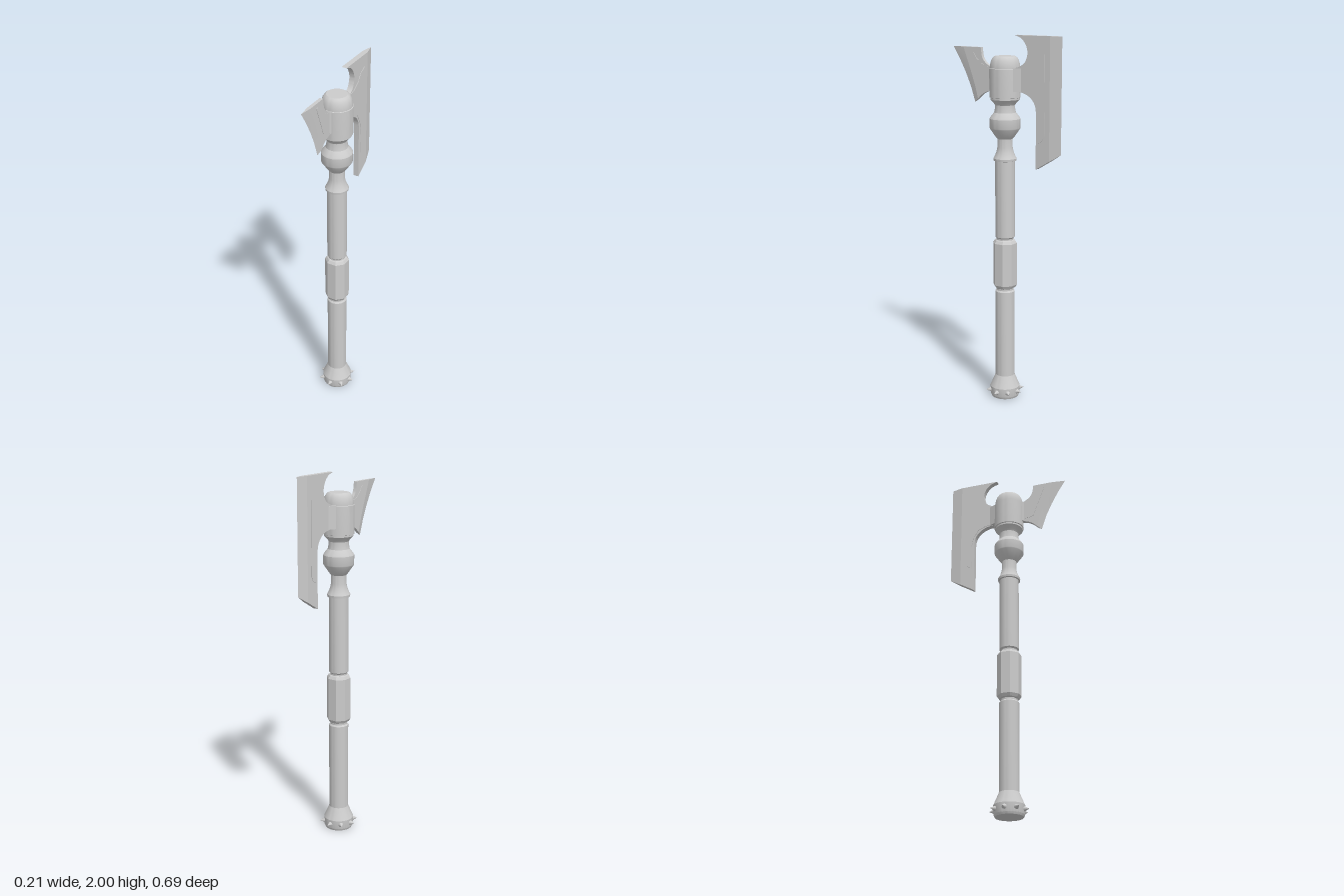
import * as THREE from 'three';
import { toCreasedNormals } from 'three/addons/utils/BufferGeometryUtils.js';

const AXIS_Z = 0.006; // the shaft sits slightly forward of the blades' midpoint
const material = new THREE.MeshStandardMaterial({ color: 0xcccccc });
const bladeMaterial = new THREE.MeshStandardMaterial({ color: 0xcccccc, side: THREE.DoubleSide });
const vectors = (pts) => pts.map(([a, b]) => new THREE.Vector2(a, b));

function add(parent, name, geometry, mat = material) {
  const mesh = new THREE.Mesh(geometry, mat);
  mesh.name = name;
  parent.add(mesh);
  return mesh;
}

// Turned part from [radius, height] pairs, bottom to top
function turned(parent, name, profile, sides = 32, crease = 0.45) {
  const geo = new THREE.LatheGeometry(vectors(profile), sides, Math.PI / sides);
  const mesh = add(parent, name, toCreasedNormals(geo, crease));
  mesh.position.z = AXIS_Z;
  return mesh;
}

// Plate drawn in (z, y), with thickness centred on x = 0
function plate(parent, name, shape, half) {
  const geo = new THREE.ExtrudeGeometry(shape, { depth: half * 2, bevelEnabled: false, curveSegments: 6 });
  geo.translate(0, 0, -half).rotateY(-Math.PI / 2);
  return add(parent, name, toCreasedNormals(geo, 0.5), bladeMaterial);
}

// Cutting bevel: triangular cross-sections swept from the body line to the sharp line
function cuttingEdge(parent, name, inner, outer, half) {
  const positions = [], index = [];
  inner.forEach(([z, y], i) => positions.push(half, y, z, 0, outer[i][1], outer[i][0], -half, y, z));
  for (let i = 0; i < inner.length - 1; i++) {
    const a = i * 3, b = a + 3;
    for (const k of [0, 1]) index.push(a + k, b + k, a + k + 1, b + k, b + k + 1, a + k + 1);
  }
  const last = (inner.length - 1) * 3;
  index.push(0, 1, 2, last, last + 2, last + 1);
  const geo = new THREE.BufferGeometry();
  geo.setAttribute('position', new THREE.Float32BufferAttribute(positions, 3));
  geo.setIndex(index);
  return add(parent, name, toCreasedNormals(geo, 0.4), bladeMaterial);
}

// Flared block joining a blade to the head
function root(parent, name, near, far, wide, narrow) {
  const shape = new THREE.Shape(vectors([[-wide, -near], [wide, -near], [narrow, -far], [-narrow, -far]]));
  const geo = new THREE.ExtrudeGeometry(shape, { depth: 0.12, bevelEnabled: false });
  geo.rotateX(-Math.PI / 2).translate(0, 1.71, 0);
  return add(parent, name, geo, bladeMaterial);
}

export function createModel() {
  const axe = new THREE.Group();
  axe.name = 'battleAxe';

  // Pommel with a ring of spikes
  turned(axe, 'pommel', [[0, 0], [0.074, 0], [0.08, 0.012], [0.082, 0.06], [0.075, 0.075],
    [0.062, 0.105], [0.053, 0.127]]);
  const spikes = new THREE.Group();
  spikes.name = 'pommelSpikes';
  spikes.position.set(0, 0.037, AXIS_Z);
  axe.add(spikes);
  for (let i = 0; i < 8; i++) {
    const geo = new THREE.ConeGeometry(0.016, 0.032, 12);
    geo.rotateX(Math.PI / 2).translate(0, 0, 0.091).rotateY(i * Math.PI / 4);
    add(spikes, 'spike', geo);
  }

  // Shaft halves and the faceted grip between them
  turned(axe, 'lowerShaft', [[0.053, 0.127], [0.053, 0.612], [0.046, 0.62], [0.046, 0.64]]);
  turned(axe, 'grip', [[0.045, 0.628], [0.056, 0.634], [0.066, 0.65], [0.066, 0.885],
    [0.056, 0.9], [0.045, 0.906]], 8, 0.2);
  turned(axe, 'upperShaft', [[0.046, 0.89], [0.046, 0.912], [0.053, 0.92], [0.053, 1.338]]);

  // Neck, collar and head
  turned(axe, 'shaftCollar', [[0.053, 1.336], [0.061, 1.338], [0.062, 1.35], [0.055, 1.362],
    [0.046, 1.385], [0.041, 1.41], [0.041, 1.46]]);
  turned(axe, 'neckCollar', [[0.041, 1.455], [0.05, 1.465], [0.08, 1.508], [0.082, 1.513], [0.082, 1.562],
    [0.078, 1.57], [0.058, 1.595], [0.054, 1.615], [0.054, 1.64]]);
  turned(axe, 'head', [[0.054, 1.635], [0.06, 1.645], [0.078, 1.664], [0.078, 1.673], [0.083, 1.675],
    [0.083, 1.826], [0.08, 1.828], [0.079, 1.845], [0.073, 1.868], [0.064, 1.883], [0.054, 1.89], [0, 1.89]]);

  // Large rear blade
  const rear = new THREE.Group();
  rear.name = 'rearBlade';
  axe.add(rear);
  const body = new THREE.Shape();
  body.moveTo(-0.28, 2);
  body.lineTo(-0.063, 2);
  body.splineThru(vectors([[-0.105, 1.984], [-0.134, 1.95], [-0.143, 1.905], [-0.122, 1.857], [-0.07, 1.83]]));
  body.lineTo(-0.04, 1.83);
  body.lineTo(-0.04, 1.71);
  body.lineTo(-0.08, 1.71);
  body.splineThru(vectors([[-0.13, 1.7], [-0.17, 1.675], [-0.192, 1.64], [-0.198, 1.6]]));
  body.lineTo(-0.198, 1.31);
  body.lineTo(-0.28, 1.359);
  plate(rear, 'rearBladeBody', body, 0.0145);
  cuttingEdge(rear, 'rearCuttingEdge', [[-0.28, 2], [-0.28, 1.359]], [[-0.343, 2], [-0.343, 1.397]], 0.0145);
  plate(rear, 'rearRaisedPanel', new THREE.Shape(vectors([[-0.06, 1.83], [-0.14, 1.848], [-0.18, 1.875],
    [-0.21, 1.915], [-0.25, 1.935], [-0.25, 1.49], [-0.238, 1.465], [-0.215, 1.45], [-0.215, 1.59],
    [-0.205, 1.64], [-0.175, 1.69], [-0.13, 1.71], [-0.06, 1.715]])), 0.0168);
  root(rear, 'rearBladeRoot', -0.06, -0.105, 0.04, 0.0168);

  // Small front blade with a concave edge
  const front = new THREE.Group();
  front.name = 'frontBlade';
  axe.add(front);
  const sharp = [[0.343, 1.93], [0.298, 1.86], [0.26, 1.79], [0.228, 1.72], [0.2, 1.637]];
  const inner = [[0.27, 1.93], [0.243, 1.86], [0.216, 1.79], [0.192, 1.72], [0.175, 1.657]];
  const blade = new THREE.Shape(vectors(inner));
  blade.splineThru(vectors([[0.15, 1.68], [0.12, 1.697], [0.08, 1.707]]));
  blade.lineTo(0.04, 1.707);
  blade.lineTo(0.04, 1.828);
  blade.lineTo(0.08, 1.828);
  blade.splineThru(vectors([[0.115, 1.843], [0.145, 1.875], [0.156, 1.93]]));
  plate(front, 'frontBladeBody', blade, 0.0095);
  cuttingEdge(front, 'frontCuttingEdge', inner, sharp, 0.0095);
  plate(front, 'frontRaisedPanel', new THREE.Shape(vectors([[0.22, 1.905], [0.203, 1.905], [0.18, 1.87],
    [0.15, 1.845], [0.11, 1.832], [0.06, 1.828], [0.06, 1.715], [0.13, 1.722], [0.155, 1.732]])), 0.0115);
  root(front, 'frontBladeRoot', 0.07, 0.1, 0.02, 0.0115);

  return axe;
}
